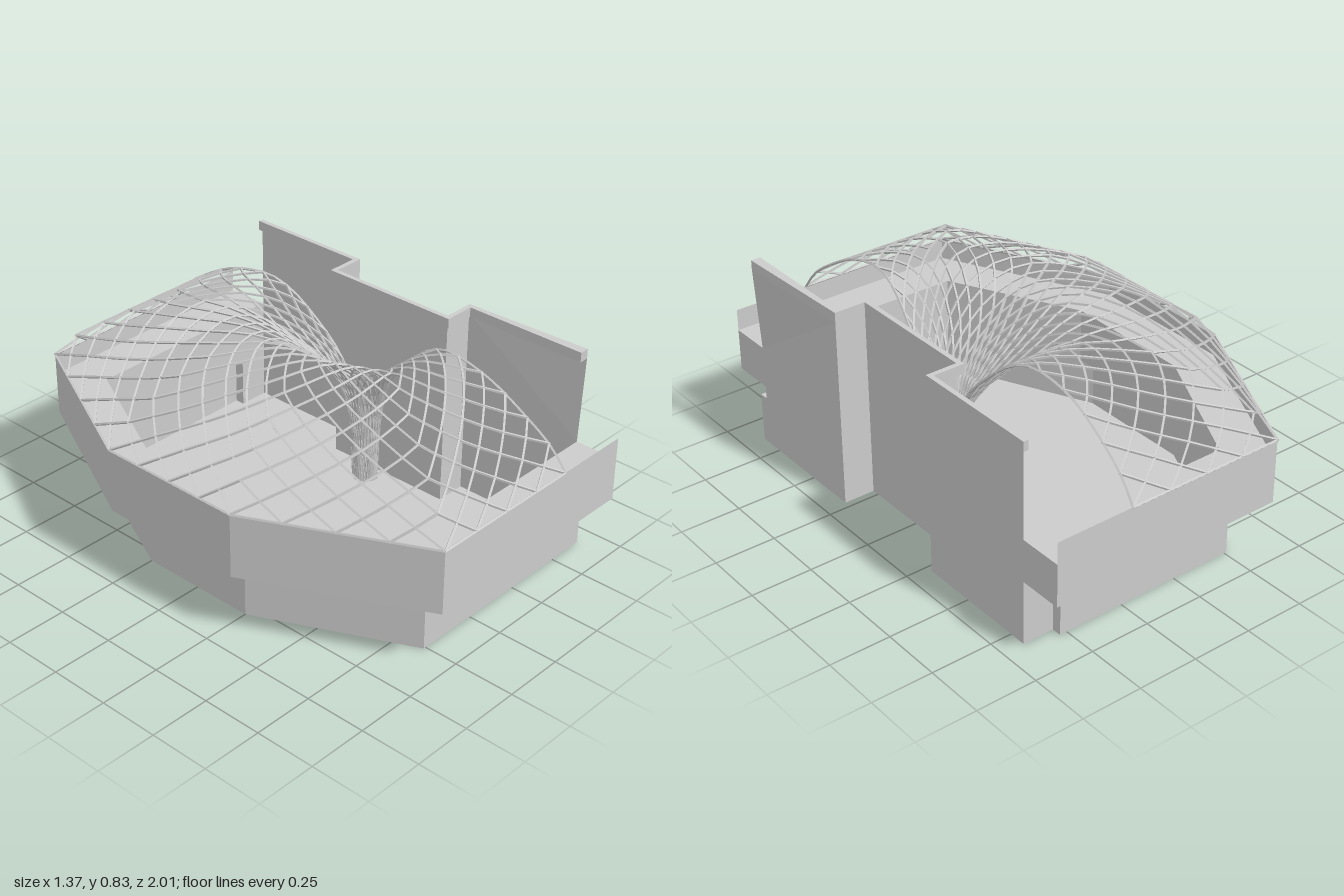
import * as THREE from 'three';
import { mergeGeometries } from 'three/addons/utils/BufferGeometryUtils.js';

const solidMat = new THREE.MeshStandardMaterial({ color: 0xcccccc, flatShading: true });
const sheetMat = new THREE.MeshStandardMaterial({ color: 0xcccccc, flatShading: true, side: THREE.DoubleSide });

// Plan outlines as [x, z], running from the +z end of the rear wall round to the -z end
const UPPER = [[0.66, 1], [-0.34, 1], [-0.68, 0.31], [-0.68, -0.31], [-0.34, -1], [0.66, -1]];
const BAND = [[0.66, 0.82], [-0.235, 0.82], [-0.505, 0.28], [-0.505, -0.28], [-0.235, -0.82], [0.66, -0.82]];
const BASE = [[0.66, 0.82], [0.66, 0.86], [-0.26, 0.86], [-0.55, 0.25], [-0.55, -0.25], [-0.26, -0.86],
  [0.53, -0.86], [0.53, -0.82], [0.66, -0.82]];
const REAR = [[0.66, 0.82], [0.66, 0.28], [0.53, 0.28], [0.53, -0.28], [0.66, -0.28], [0.66, -0.82]];
const REAR_TOP = [[0.68, 0.82], ...REAR.slice(1)]; // one corner leans outwards
const CAP_INNER = [[0.64, 0.82], [0.64, 0.3], [0.51, 0.3], [0.51, -0.3], [0.64, -0.3], [0.64, -0.82]];

const planShape = (pts) => new THREE.Shape(pts.map(([x, z]) => new THREE.Vector2(x, z)));
const between = (outer, inner) => planShape([...outer, ...[...inner].reverse()]);

// Closed solid from a plan shape between two heights
function slab(shape, y0, y1) {
  const g = new THREE.ExtrudeGeometry(shape, { depth: y1 - y0, bevelEnabled: false });
  return g.rotateX(Math.PI / 2).translate(0, y1, 0);
}

// Horizontal thin surface
function plate(shape, y) {
  return new THREE.ShapeGeometry(shape).rotateX(Math.PI / 2).translate(0, y, 0);
}

// Thin upright wall following a plan path, optionally to a different top path
function wall(path, y0, y1, top = path) {
  const pos = [];
  for (let i = 0; i < path.length - 1; i++) {
    const [a, b, c, d] = [path[i], path[i + 1], top[i + 1], top[i]];
    const A = [a[0], y0, a[1]], B = [b[0], y0, b[1]], C = [c[0], y1, c[1]], D = [d[0], y1, d[1]];
    pos.push(...A, ...C, ...B, ...A, ...D, ...C);
  }
  const g = new THREE.BufferGeometry();
  g.setAttribute('position', new THREE.Float32BufferAttribute(pos, 3));
  g.computeVertexNormals();
  return g;
}

// Square bar between two points
const UP = new THREE.Vector3(0, 1, 0);
function bar(a, b, r = 0.0055) {
  const d = b.clone().sub(a);
  const g = new THREE.CylinderGeometry(r, r, d.length() + r, 4, 1);
  g.applyQuaternion(new THREE.Quaternion().setFromUnitVectors(UP, d.normalize()));
  return g.translate((a.x + b.x) / 2, (a.y + b.y) / 2, (a.z + b.z) / 2);
}

// Lattice shell: rises from the parapet, crests, then funnels down to a small foot
function latticeGeometry() {
  const CELLS = 20, ROWS = 26;
  const profile = new THREE.CatmullRomCurve3([
    [1, 0.53], [0.93, 0.615], [0.79, 0.71], [0.65, 0.782], [0.52, 0.815], [0.42, 0.82], [0.32, 0.785],
    [0.2, 0.69], [0.1, 0.58], [0.04, 0.46], [0.01, 0.28], [0, 0.06],
  ].map(([s, y]) => new THREE.Vector3(s, y, 0)));
  const rim = [[0.335, 1], ...UPPER.slice(1, 5), [0.335, -1]];

  // Four cells to each of the five rim sides
  const rimPoint = (i) => {
    const f = i / 8, k = Math.min(4, Math.floor(f)), t = f - k;
    return [0, 1].map((c) => rim[k][c] + (rim[k + 1][c] - rim[k][c]) * t);
  };
  const node = (i, j) => {
    const p = profile.getPointAt(j / ROWS), s = p.x;
    const [ox, oz] = rimPoint(i);
    const a = (i / (2 * CELLS)) * Math.PI;
    const ix = 0.405 - 0.06 * Math.sin(a), iz = 0.05 * Math.cos(a);
    const bend = 0.045 * Math.sin(Math.PI * s) * Math.abs(Math.cos(a));
    return new THREE.Vector3(ix + (ox - ix) * s - bend, p.y, iz + (oz - iz) * s);
  };

  const bars = [];
  for (let j = 0; j < ROWS; j++) {
    for (let i = j % 2; i <= 2 * CELLS; i += 2) {
      for (const k of [i - 1, i + 1]) {
        if (k >= 0 && k <= 2 * CELLS) bars.push(bar(node(i, j), node(k, j + 1)));
      }
    }
    // Edge ribs of the two open arches
    for (const i of [0, 2 * CELLS]) bars.push(bar(node(i, j), node(i, j + 1)));
  }
  // Rim bars on the parapet
  for (let i = 0; i < 2 * CELLS; i += 2) bars.push(bar(node(i, 0), node(i + 2, 0)));
  return mergeGeometries(bars);
}

export function createModel() {
  const group = new THREE.Group();
  const add = (name, geometry, material = sheetMat) => {
    const m = new THREE.Mesh(geometry, material);
    m.name = name;
    group.add(m);
  };

  // Hollow base with its floor and the narrow recess above it
  add('floor', plate(planShape([...BASE, ...REAR.slice(1, 5).reverse()]), 0));
  add('baseWall', wall(BASE, 0, 0.21));
  add('baseLedge', plate(between(BASE.slice(1, 8), BAND.slice(0, 5)), 0.21));
  add('recessBand', wall(BAND, 0.21, 0.265));

  // Overhanging gallery and its thin parapet
  add('gallery', slab(between(UPPER, BAND), 0.265, 0.44), solidMat);
  add('parapet', wall(UPPER, 0.44, 0.53));

  // Stepped rear wall with coping
  add('rearWallLower', wall(REAR, 0, 0.44));
  add('rearWallUpper', wall(REAR, 0.44, 0.79, REAR_TOP));
  add('coping', slab(between(REAR_TOP, CAP_INNER), 0.79, 0.83), solidMat);

  add('latticeShell', latticeGeometry(), solidMat);
  return group;
}
